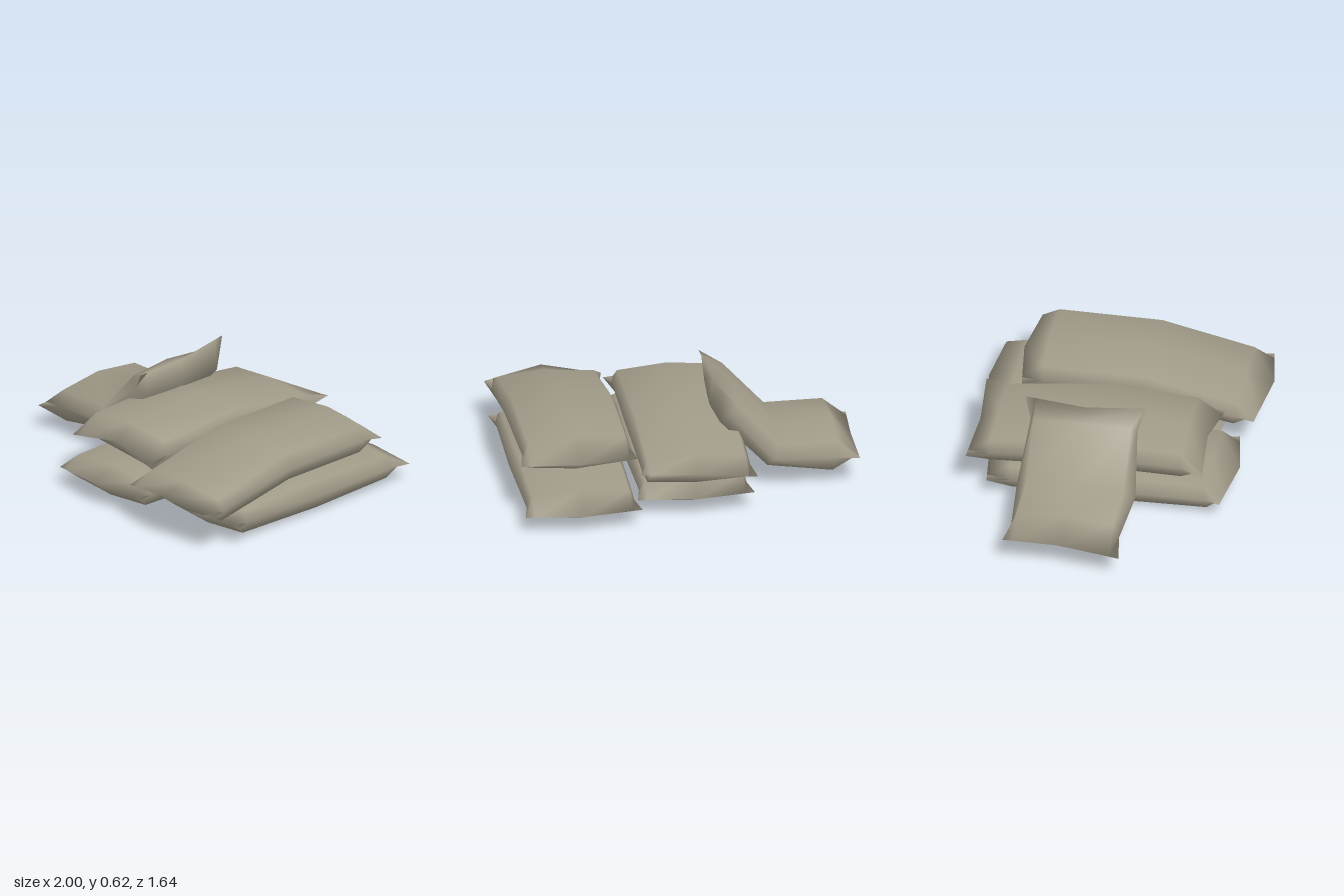
import * as THREE from 'three';
import { mergeVertices } from 'three/addons/utils/BufferGeometryUtils.js';

const canvas = new THREE.MeshStandardMaterial({ color: 0xa09a88 });
canvas.name = 'sackcloth';

const RIM = 0.28; // distance from the middle line to the edge of the padded area

// Flat sewn end: corners at (s, y), seam middle at (sMid, yMid), skewed by (ds, dy) from side to side
function endRing({ s, y, sMid, yMid, half = 0.336, ds = 0, dy = 0 }) {
  const at = (x) => {
    const k = Math.abs(x) / half, side = x / half;
    return [x, yMid + (y - yMid) * k + dy * side, sMid + (s - sMid) * k + ds * side];
  };
  return [-half, -RIM, 0, RIM, half, RIM, 0, -RIM].map(at);
}

// Padded slice: top point, bottom point and half width at the side seam
function bodyRing([sTop, yTop, sBot, yBot, half]) {
  const mix = (x, t) => [x, yBot + (yTop - yBot) * t, sBot + (sTop - sBot) * t];
  const e = 0.13; // the padding thins towards the sides
  return [
    mix(-half, 0.5), mix(-RIM, 1 - e), mix(0, 1), mix(RIM, 1 - e),
    mix(half, 0.5), mix(RIM, e), mix(0, 0), mix(-RIM, e),
  ];
}

// Sack lofted from its back end (low z) to its front end (high z)
function sack(name, back, body, front) {
  const rings = [endRing(back), ...body.map(bodyRing), endRing(front)];
  const index = [];
  for (let i = 0; i < rings.length - 1; i++) {
    for (let j = 0; j < 8; j++) {
      const a = i * 8 + j, b = i * 8 + ((j + 1) % 8), c = a + 8, d = b + 8;
      index.push(a, c, b, b, c, d);
    }
  }
  let geo = new THREE.BufferGeometry();
  geo.setAttribute('position', new THREE.Float32BufferAttribute(rings.flat(2), 3));
  geo.setIndex(index);
  geo = mergeVertices(geo, 1e-4);
  geo.computeVertexNormals();
  const mesh = new THREE.Mesh(geo, canvas);
  mesh.name = name;
  return mesh;
}

export function createModel() {
  const group = new THREE.Group();
  group.name = 'sackPile';

  // Two straight sacks on the ground
  for (const [name, x, z] of [['lowerMiddleSack', -0.003, 0.125], ['lowerLeftSack', 0.662, 0]]) {
    const m = sack(name,
      { s: -0.785, y: 0.11, sMid: -0.825, yMid: 0.11 },
      [
        [-0.66, 0.2, -0.65, 0.022, 0.31],
        [-0.1, 0.22, -0.1, 0, 0.322],
        [0.46, 0.2, 0.475, 0.02, 0.31],
      ],
      { s: 0.555, y: 0.11, sMid: 0.615, yMid: 0.138 });
    m.position.set(x, 0, z);
    group.add(m);
  }

  // Upper sack drooping at the front
  const left = sack('upperLeftSack',
    { s: -0.575, y: 0.33, sMid: -0.62, yMid: 0.34 },
    [
      [-0.47, 0.45, -0.45, 0.235, 0.31],
      [0.13, 0.45, 0.1, 0.235, 0.322],
      [0.66, 0.325, 0.63, 0.14, 0.31],
    ],
    { s: 0.76, y: 0.23, sMid: 0.82, yMid: 0.28 });
  left.position.x = 0.655;
  group.add(left);

  // Upper sack sagging slightly at the back
  const middle = sack('upperMiddleSack',
    { s: -0.78, y: 0.295, sMid: -0.755, yMid: 0.293, dy: 0.03 },
    [
      [-0.65, 0.37, -0.65, 0.195, 0.31],
      [-0.1, 0.45, -0.1, 0.215, 0.322],
      [0.45, 0.42, 0.45, 0.215, 0.31],
    ],
    { s: 0.59, y: 0.28, sMid: 0.555, yMid: 0.335, ds: 0.01 });
  middle.position.x = -0.003;
  group.add(middle);

  // Bent sack leaning against the pile, its length turned along x
  const leaning = sack('leaningSack',
    { s: -0.988, y: 0.16, sMid: -0.975, yMid: 0.175, ds: 0.012, dy: 0.015 },
    [
      [-0.86, 0.3, -0.82, 0.055, 0.312],
      [-0.53, 0.29, -0.44, 0.125, 0.342],
      [-0.3, 0.55, -0.16, 0.425, 0.308],
    ],
    { s: -0.178, y: 0.61, sMid: -0.185, yMid: 0.58, half: 0.342, ds: -0.022, dy: 0.015 });
  leaning.rotation.y = Math.PI / 2;
  leaning.position.z = -0.117;
  group.add(leaning);

  return group;
}
